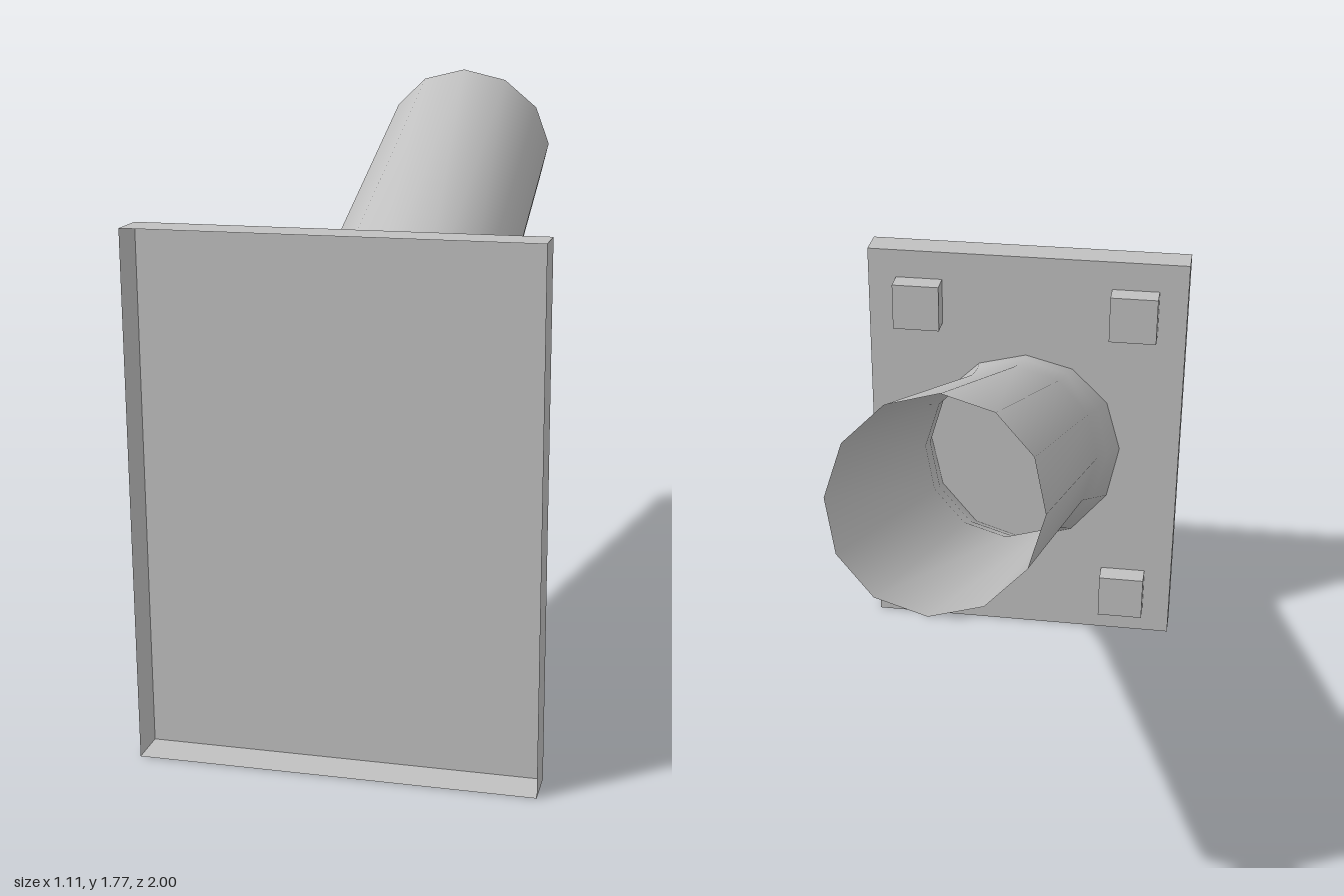
import * as THREE from 'three';

const SIDES = 12;

// Twelve-sided ring given by its top and bottom [z, y] points and half width
function ringPoints({ top, bottom, halfWidth, skew = 0 }) {
  const points = [];
  for (let i = 0; i < SIDES; i++) {
    const a = (i / SIDES) * Math.PI * 2;
    const c = Math.cos(a), s = Math.sin(a);
    const t = (1 - c) / 2;
    points.push(new THREE.Vector3(
      halfWidth * s * (1 - skew * 1.3 * c),
      THREE.MathUtils.lerp(top[1], bottom[1], t) + skew * s * s,
      THREE.MathUtils.lerp(top[0], bottom[0], t)
    ));
  }
  return points;
}

// Smooth open skin joining a list of rings
function loft(rings) {
  const index = [];
  for (let k = 0; k < rings.length - 1; k++) {
    for (let i = 0; i < SIDES; i++) {
      const j = (i + 1) % SIDES;
      const a = k * SIDES + i, b = k * SIDES + j;
      const c = a + SIDES, d = b + SIDES;
      index.push(a, b, c, b, d, c);
    }
  }
  const geometry = new THREE.BufferGeometry().setFromPoints(rings.flat());
  geometry.setIndex(index);
  geometry.computeVertexNormals();
  return geometry;
}

export function createModel() {
  const model = new THREE.Group();
  model.name = 'wallMountedPipe';

  const metal = new THREE.MeshStandardMaterial({ color: 0xc0c0c0, side: THREE.DoubleSide });
  metal.name = 'grey metal';

  const add = (name, geometry, x = 0, y = 0, z = 0) => {
    const mesh = new THREE.Mesh(geometry, metal);
    mesh.name = name;
    mesh.position.set(x, y, z);
    model.add(mesh);
  };

  // Mounting plate: a shallow tray, open towards the front
  const tray = new THREE.BoxGeometry(1.11, 1.48, 0.11);
  const faces = Array.from(tray.index.array);
  faces.splice(24, 6); // drop the +z face
  tray.setIndex(faces);
  tray.clearGroups();
  add('mountingPlate', tray, 0, 0.74, 0.945);

  // Four square bolt heads on the back of the plate
  for (const x of [-0.376, 0.376]) {
    for (const y of [0.183, 1.3]) {
      add('boltHead', new THREE.BoxGeometry(0.162, 0.162, 0.075), x, y, 0.8515);
    }
  }

  // Sloping hollow pipe, flared where it meets the plate
  const rings = [
    { top: [0.89, 1.115], bottom: [0.89, 0.365], halfWidth: 0.343, skew: 0.03 },
    { top: [0.81, 1.137], bottom: [0.6, 0.545], halfWidth: 0.312 },
    { top: [0.63, 1.193], bottom: [0.41, 0.655], halfWidth: 0.293 },
    { top: [-0.78, 1.775], bottom: [-1, 1.255], halfWidth: 0.283 },
  ].map(ringPoints);
  add('pipe', loft(rings));

  // Disc closing the pipe at the plate
  const outline = rings[0].map((p) => new THREE.Vector2(p.x, p.y));
  add('pipeBaseDisc', new THREE.ShapeGeometry(new THREE.Shape(outline)), 0, 0, 0.892);

  return model;
}
